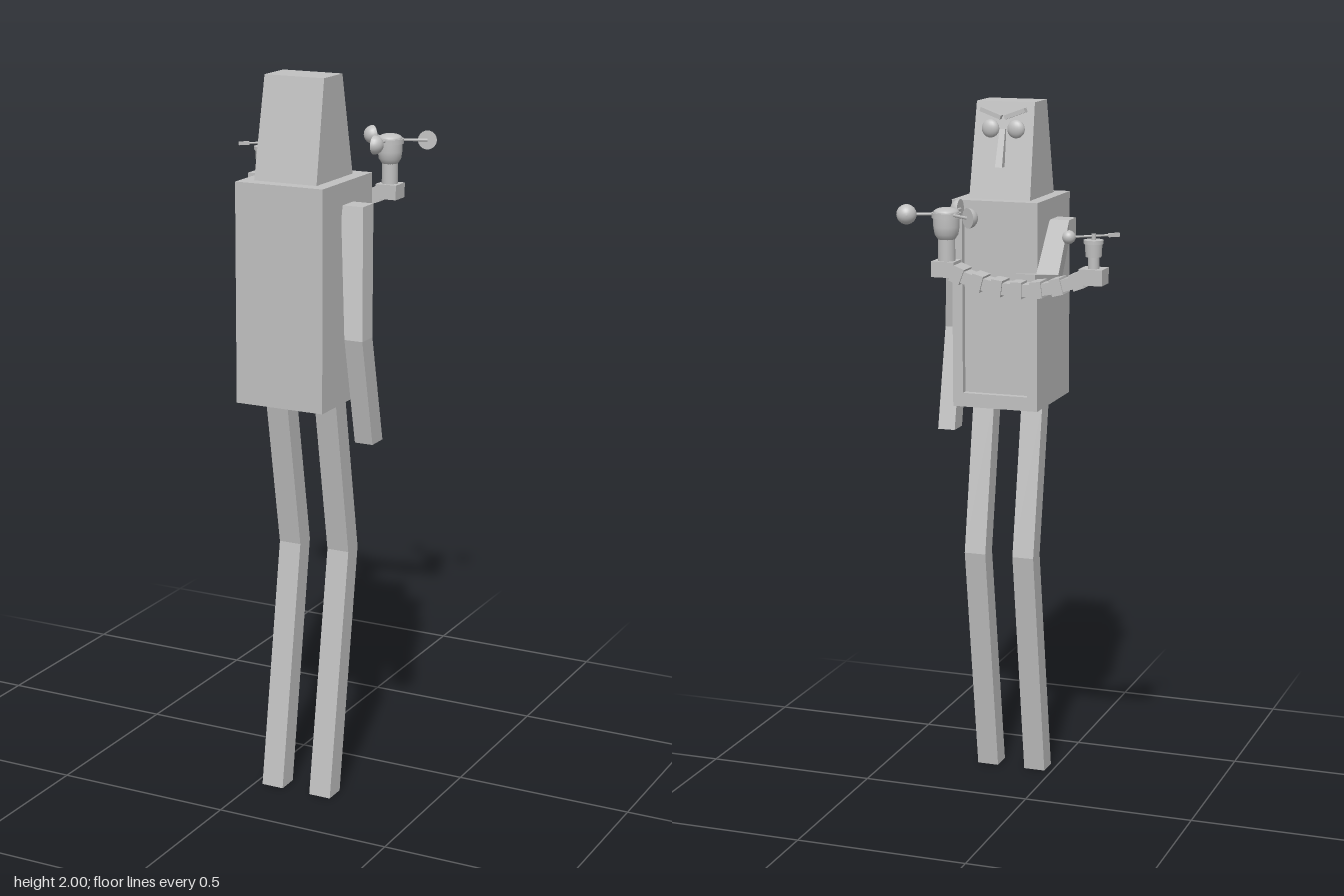
import * as THREE from 'three';

const grey = new THREE.MeshStandardMaterial({ color: 0xc0c0c0 });
grey.name = 'plain grey';

function add(parent, name, geometry, x = 0, y = 0, z = 0) {
  const mesh = new THREE.Mesh(geometry, grey);
  mesh.name = name;
  mesh.position.set(x, y, z);
  parent.add(mesh);
  return mesh;
}

// Joins four-cornered rings into a closed, flat-sided limb
function loft(rings) {
  const pos = [];
  const quad = (a, b, c, d) => pos.push(...a, ...b, ...c, ...a, ...c, ...d);
  for (let i = 0; i < rings.length - 1; i++) {
    for (let j = 0; j < 4; j++) {
      const k = (j + 1) % 4;
      quad(rings[i][j], rings[i][k], rings[i + 1][k], rings[i + 1][j]);
    }
  }
  quad(...[...rings[0]].reverse());
  quad(...rings[rings.length - 1]);
  const g = new THREE.BufferGeometry();
  g.setAttribute('position', new THREE.Float32BufferAttribute(pos, 3));
  g.computeVertexNormals();
  return g;
}
// Horizontal ring (listed upward) and upright ring (listed toward +z)
const level = (y, x0, x1, z0, z1) => [[x0, y, z1], [x1, y, z1], [x1, y, z0], [x0, y, z0]];
const upright = (z, x0, x1, y0, y1) => [[x0, y0, z], [x1, y0, z], [x1, y1, z], [x0, y1, z]];

// Solid half ball, flat on the -x side
function halfBall(r) {
  const profile = [new THREE.Vector2(0, 0)];
  for (let i = 0; i <= 8; i++) {
    const a = (i / 8) * Math.PI / 2;
    profile.push(new THREE.Vector2(i === 8 ? 0 : r * Math.cos(a), r * Math.sin(a)));
  }
  // the rim is doubled so the flat side stays crisp
  profile.splice(1, 0, new THREE.Vector2(r * 0.995, 0));
  return new THREE.LatheGeometry(profile, 18).rotateZ(-Math.PI / 2);
}

// Rod pointing outward with an optional cup at its end
function spinnerArm(parent, angle, length, rod, cup) {
  const arm = new THREE.Group();
  arm.name = 'spinnerArm';
  arm.rotation.y = THREE.MathUtils.degToRad(angle);
  add(arm, 'rod', new THREE.CylinderGeometry(rod, rod, length, 8).rotateX(Math.PI / 2), 0, 0, length / 2);
  if (cup) add(arm, 'cup', halfBall(cup), 0, 0, length);
  else add(arm, 'vane', new THREE.BoxGeometry(0.008, 0.01, 0.03), 0, 0, length - 0.01);
  parent.add(arm);
}

export function createModel() {
  const model = new THREE.Group();
  model.name = 'figure';

  // Torso with a framed recess on the chest
  add(model, 'torso', new THREE.BoxGeometry(0.255, 0.595, 0.27), 0.1275, 1.4325, 0.255);
  const frame = new THREE.Shape([[0, 1.135], [0.255, 1.135], [0.255, 1.73], [0, 1.73]].map(p => new THREE.Vector2(...p)));
  frame.holes.push(new THREE.Path([[0.03, 1.175], [0.03, 1.69], [0.225, 1.69], [0.225, 1.175]].map(p => new THREE.Vector2(...p))));
  add(model, 'chestFrame', new THREE.ExtrudeGeometry(frame, { depth: 0.02, bevelEnabled: false }), 0, 0, 0.1);

  // Head tapering from front to back
  add(model, 'head', loft([level(1.73, 0.036, 0.218, 0.142, 0.352), level(2, 0.04, 0.213, 0.195, 0.3)]));

  // Face
  for (const s of [-1, 1]) {
    const eye = add(model, 'eye', new THREE.SphereGeometry(0.026, 18, 12), 0.128 + s * 0.038, 1.925, 0.178);
    eye.scale.z = 0.6;
    const brow = add(model, 'brow', new THREE.BoxGeometry(0.064, 0.012, 0.022), 0.128 + s * 0.036, 1.968, 0.18);
    brow.rotation.z = s * 0.35;
  }
  add(model, 'nose', loft([level(1.82, 0.118, 0.139, 0.137, 0.165), level(1.925, 0.12, 0.137, 0.171, 0.19)]));

  // Legs bent at the knee
  for (const x of [0.022, 0.17]) {
    add(model, 'leg', loft([
      level(0, x, x + 0.064, 0.235, 0.297),
      level(0.69, x, x + 0.064, 0.13, 0.188),
      level(1.14, x, x + 0.064, 0.212, 0.27),
    ]));
  }

  // Hanging arm
  add(model, 'hangingArm', loft([
    level(1.035, 0.296, 0.348, 0.217, 0.278),
    level(1.33, 0.296, 0.348, 0.284, 0.344),
    level(1.67, 0.25, 0.314, 0.213, 0.275),
  ]));

  // Reaching arm
  add(model, 'reachingArm', loft([
    upright(-0.29, -0.127, -0.064, 1.535, 1.595),
    upright(-0.095, -0.127, -0.064, 1.503, 1.565),
    upright(0.215, -0.056, 0.002, 1.61, 1.67),
    upright(0.279, -0.056, 0.002, 1.61, 1.67),
  ]));

  // Sagging, ribbed crossbar with a block at each end
  const mid = -0.09, half = 0.18, count = 13;
  const sag = t => 1.558 + 0.038 * t * t;
  for (let i = 0; i < count; i++) {
    const t = ((i + 0.5) / count) * 2 - 1;
    const thick = i % 2 ? 0.032 : 0.044;
    const rib = add(model, 'crossbarRib', new THREE.BoxGeometry(2 * half / count + 0.003, thick, i % 2 ? 0.05 : 0.06), mid + t * half, sag(t), -0.31);
    rib.rotation.z = Math.atan(0.076 * t / half);
  }
  for (const s of [-1, 1]) {
    add(model, 'crossbarEnd', new THREE.BoxGeometry(0.064, 0.042, 0.06), mid + s * 0.205, 1.603, -0.31);
  }

  // Large spinner with three cups
  const big = new THREE.Group();
  big.name = 'largeSpinner';
  big.position.set(0.113, 0, -0.312);
  model.add(big);
  add(big, 'post', new THREE.CylinderGeometry(0.023, 0.023, 0.07, 20), 0, 1.65, 0);
  add(big, 'housing', new THREE.LatheGeometry(
    [[0, 1.675], [0.022, 1.68], [0.032, 1.695], [0.035, 1.715], [0.035, 1.74]].map(p => new THREE.Vector2(...p)), 24));
  add(big, 'cap', new THREE.CylinderGeometry(0.039, 0.039, 0.014, 24), 0, 1.745, 0);
  const dome = add(big, 'dome', new THREE.SphereGeometry(0.035, 20, 8, 0, Math.PI * 2, 0, Math.PI / 2), 0, 1.752, 0);
  dome.scale.y = 0.4;
  const bigArms = new THREE.Group();
  bigArms.name = 'largeSpinnerArms';
  bigArms.position.y = 1.748;
  big.add(bigArms);
  for (const a of [0, 113, 233]) spinnerArm(bigArms, a, 0.105, 0.004, 0.027);

  // Small spinner with one cup and a vane
  const small = new THREE.Group();
  small.name = 'smallSpinner';
  small.position.set(-0.296, 0, -0.314);
  model.add(small);
  add(small, 'post', new THREE.CylinderGeometry(0.015, 0.015, 0.045, 16), 0, 1.64, 0);
  add(small, 'housing', new THREE.CylinderGeometry(0.023, 0.021, 0.036, 20), 0, 1.673, 0);
  add(small, 'cap', new THREE.CylinderGeometry(0.026, 0.026, 0.01, 20), 0, 1.694, 0);
  add(small, 'pivot', new THREE.CylinderGeometry(0.006, 0.006, 0.02, 10), 0, 1.705, 0);
  const smallArms = new THREE.Group();
  smallArms.name = 'smallSpinnerArms';
  smallArms.position.y = 1.709;
  small.add(smallArms);
  spinnerArm(smallArms, 126, 0.068, 0.003, 0.018);
  spinnerArm(smallArms, 309, 0.066, 0.003, 0);

  return model;
}
